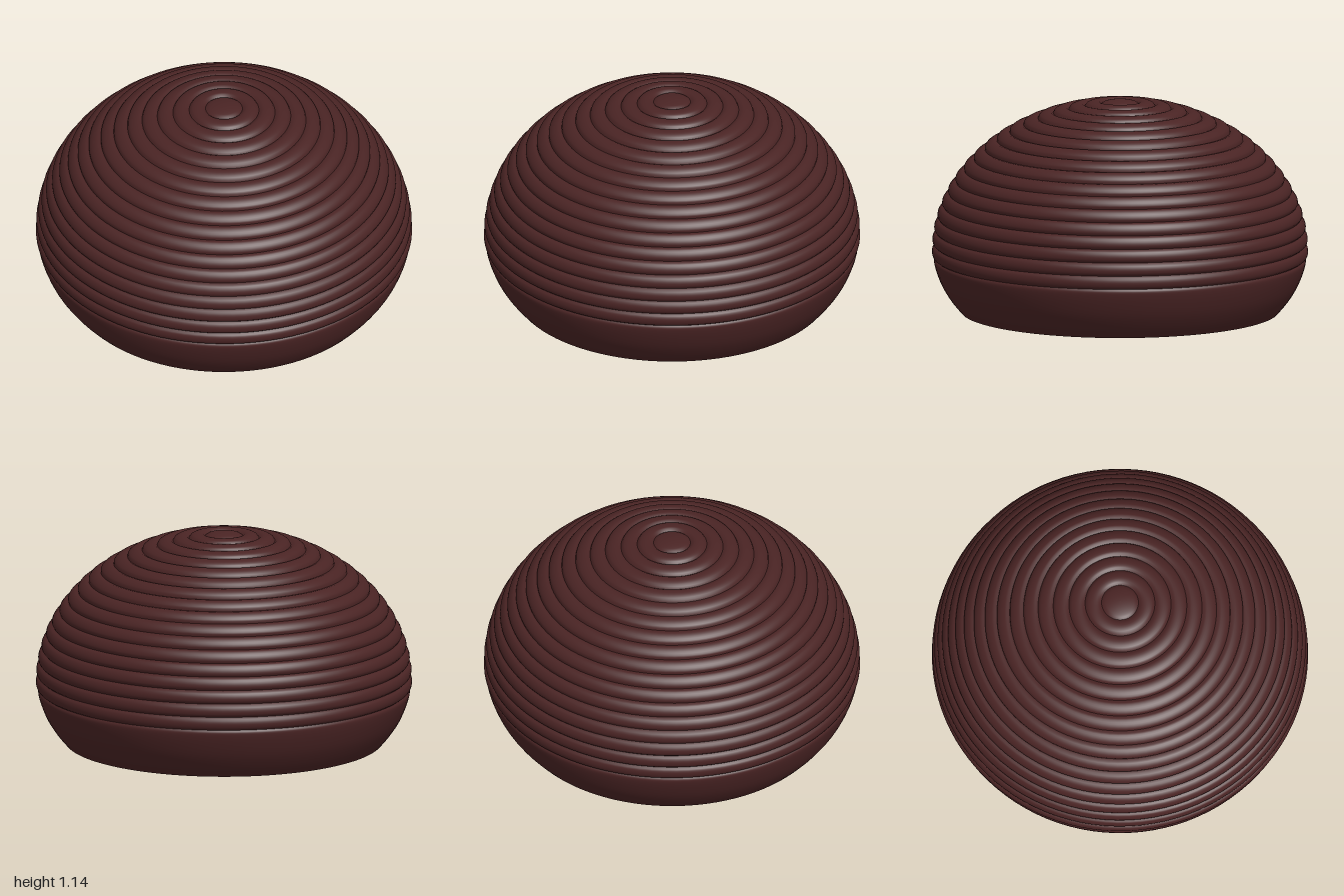
import * as THREE from 'three';

const SEGMENTS = 96;
const RIDGES = 18;

export function createModel() {
  const model = new THREE.Group();
  model.name = 'ribbedDome';
  const brown = new THREE.MeshStandardMaterial({ color: 0x4a2424, side: THREE.DoubleSide });
  brown.name = 'dark red brown';

  function addLathe(name, points) {
    const mesh = new THREE.Mesh(new THREE.LatheGeometry(points, SEGMENTS), brown);
    mesh.name = name;
    model.add(mesh);
  }

  // Point on the dome's elliptical profile, pushed outward by a bulge
  function domePoint(angle, bulge) {
    const r = 0.982 + bulge, h = 0.79 + bulge;
    return new THREE.Vector2(Math.max(0, r * Math.sin(angle)), 0.332 + h * Math.cos(angle));
  }

  // Angle from the crown to the lower edge of each ridge
  const edge = (i) => (i === 0 ? 0 : 0.1 + (i - 1) * 0.09);

  // Rounded ridges, each a separate surface so the grooves stay sharp
  for (let i = 0; i < RIDGES; i++) {
    const top = edge(i), bottom = edge(i + 1);
    const points = [];
    for (let j = 0; j <= 8; j++) {
      const t = j / 8;
      const across = i === 0 ? t / 2 : t; // bulge starts at the lower edge
      const bulge = 0.018 * Math.sqrt(Math.max(0, Math.sin(Math.PI * across)));
      points.push(domePoint(THREE.MathUtils.lerp(bottom, top, t), bulge));
    }
    addLathe('ridge' + (i + 1), points);
  }

  // Smooth lower wall curving in to the open rim
  const rim = domePoint(edge(RIDGES), 0);
  const wall = new THREE.SplineCurve([
    new THREE.Vector2(0.845, 0),
    new THREE.Vector2(0.895, 0.06),
    new THREE.Vector2(0.94, 0.13),
    new THREE.Vector2(0.972, 0.205),
    new THREE.Vector2(0.988, 0.265),
    rim,
  ]);
  addLathe('lowerWall', wall.getPoints(24));

  return model;
}
